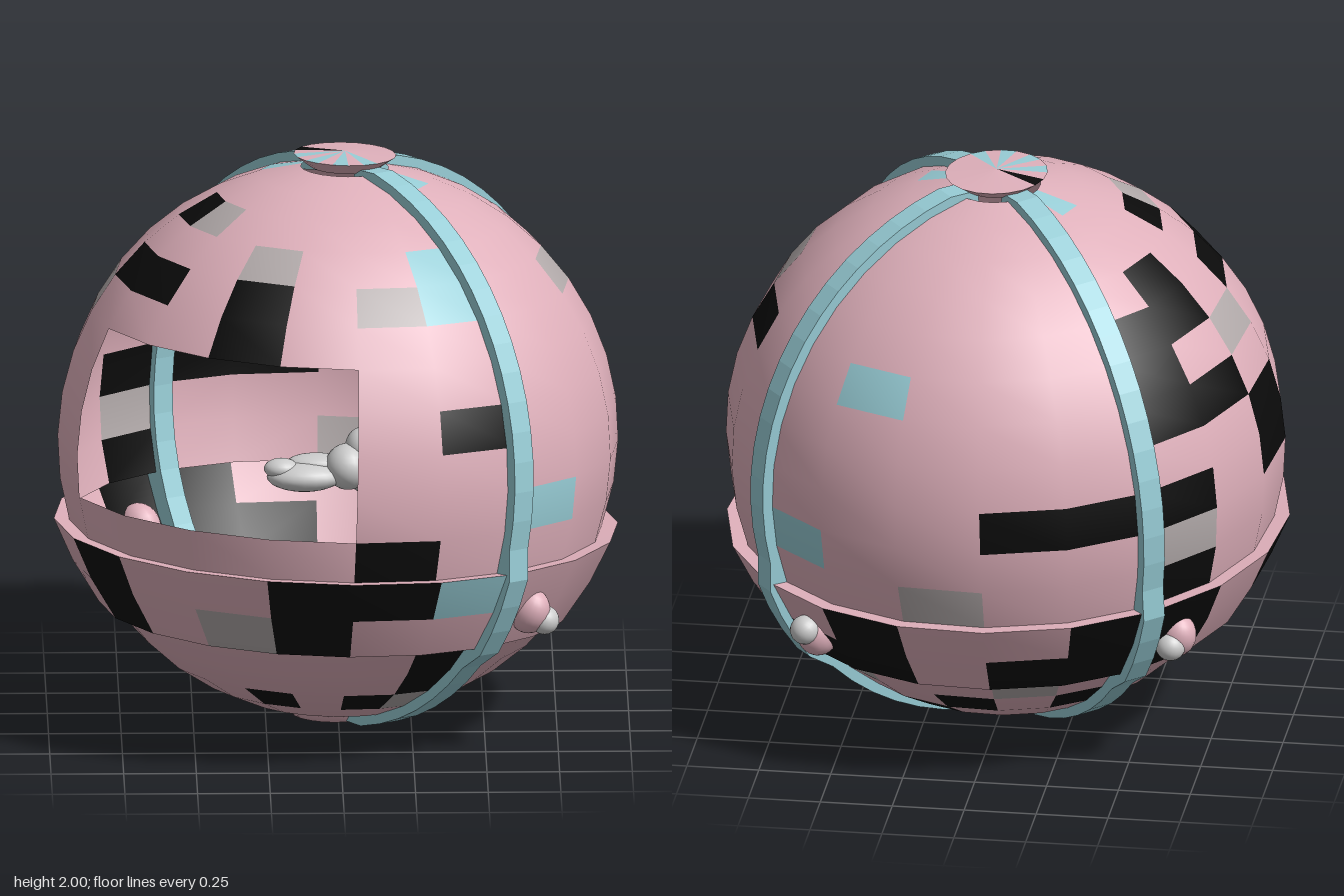
import * as THREE from 'three';

const R = 0.967, COLS = 20, RAD = Math.PI / 180, STEP = 9;
const mat = (color) => new THREE.MeshStandardMaterial({ color, side: THREE.DoubleSide });
const pink = mat(0xdfb0bb), blue = mat(0x98cdd6), black = mat(0x0b0b0b), grey = mat(0xb3abab), plain = mat(0xcccccc);
const MATS = [pink, black, blue, grey];

// Coloured tiles: row from the top -> columns (k black, b blue, g grey)
const TILES = {
  0: { k: [13], b: [1, 15, 17, 19] },
  1: { b: [3, 13] },
  3: { k: [15], g: [16] },
  4: { k: [13], b: [1], g: [18] },
  5: { k: [12, 13, 15, 16, 18], b: [1], g: [0, 4] },
  6: { k: [5, 12, 18], b: [8], g: [14] },
  7: { k: [12, 13] },
  8: { k: [1, 14] },
  9: { k: [10, 11, 12, 14] },
  10: { b: [2, 7], g: [12] },
  11: { k: [0, 12], g: [9] },
  12: { k: [0, 4, 5, 8, 11, 12, 14, 16, 19], b: [1] },
  13: { k: [4, 7, 8, 10, 11, 12, 14, 16, 19], g: [18] },
  14: { k: [1], g: [7, 10] },
  15: { k: [1, 9, 11], g: [4, 5] },
  16: { k: [0, 8, 18], g: [1] },
  17: { k: [4, 8] },
  18: { k: [1] },
  19: { k: [3, 8, 12, 17], b: [1, 6, 10, 15] },
};
const tile = (row, col) => {
  const t = TILES[row] || {};
  return 1 + ['k', 'b', 'g'].findIndex((key) => t[key] && t[key].includes(col));
};
const isOpening = (row, col) => row >= 7 && row <= 10 && col >= 16;
const sphereRing = (row, radius = R) => [radius * Math.sin(row * STEP * RAD), radius * Math.cos(row * STEP * RAD)];

// Surface of revolution made of tiles; rings are [radius, y], rows give the tile row of each strip
function tiled(name, rings, rows) {
  const pos = [], byColor = [[], [], [], []];
  for (const [r, y] of rings) {
    for (let c = 0; c < COLS; c++) {
      const a = (3 + c * 18) * RAD;
      pos.push(r * Math.sin(a), y, r * Math.cos(a));
    }
  }
  rows.forEach((row, i) => {
    for (let c = 0; c < COLS; c++) {
      if (isOpening(row, c)) continue;
      const n = (c + 1) % COLS, a = i * COLS, b = a + COLS;
      byColor[tile(row, c)].push(a + c, b + c, b + n, a + c, b + n, a + n);
    }
  });
  const geo = new THREE.BufferGeometry();
  geo.setAttribute('position', new THREE.Float32BufferAttribute(pos, 3));
  geo.setIndex(byColor.flat());
  let start = 0;
  byColor.forEach((list, m) => {
    if (list.length) geo.addGroup(start, list.length, m);
    start += list.length;
  });
  geo.computeVertexNormals();
  const mesh = new THREE.Mesh(geo, MATS);
  mesh.name = name;
  return mesh;
}

const range = (from, to) => Array.from({ length: to - from }, (_, i) => from + i);
const shell = (name, from, to) => tiled(name, range(from, to + 1).map((i) => sphereRing(i)), range(from, to));

// Curved strap from pole to pole, raised where it crosses the belt
function strap(phi) {
  const outer = [], inner = [];
  for (let t = 6; t <= 174; t += 6) {
    const lift = t >= 105 && t <= 129 ? 1.03 : 0.998;
    const at = (r) => new THREE.Vector2(r * Math.sin(t * RAD), r * Math.cos(t * RAD));
    outer.push(at(t < 12 || t > 168 ? 0.978 : lift));
    inner.unshift(at(0.935));
  }
  const geo = new THREE.ExtrudeGeometry(new THREE.Shape([...outer, ...inner]), { depth: 0.084, bevelEnabled: false });
  geo.translate(0, 0, -0.042);
  const mesh = new THREE.Mesh(geo, blue);
  mesh.rotation.y = (phi - 90) * RAD;
  mesh.name = 'strap';
  return mesh;
}

function ellipsoid(name, material, p, s) {
  const mesh = new THREE.Mesh(new THREE.SphereGeometry(1, 20, 14), material);
  mesh.position.set(...p);
  mesh.scale.set(...s);
  mesh.name = name;
  return mesh;
}

// Egg-shaped bulb with a small ball on it; local z points out of the sphere
function bulb(phi, ball) {
  const g = new THREE.Group();
  g.name = 'bulb';
  g.add(ellipsoid('bulbBody', pink, [0, 0, 0], [0.066, 0.082, 0.075]));
  g.add(ellipsoid('bulbBall', plain, ball, [0.052, 0.05, 0.052]));
  const t = 118 * RAD, a = phi * RAD;
  const dir = new THREE.Vector3(Math.sin(t) * Math.sin(a), Math.cos(t), Math.sin(t) * Math.cos(a));
  g.position.copy(dir).multiplyScalar(0.99);
  g.lookAt(dir.multiplyScalar(2));
  return g;
}

export function createModel() {
  const model = new THREE.Group();
  model.name = 'tiledSphere';
  const body = new THREE.Group();
  body.name = 'body';
  body.position.y = 0.985;
  body.rotation.set(-0.05, 0, -0.025);
  model.add(body);

  // Shell above and below the belt
  body.add(shell('upperShell', 1, 12), shell('lowerShell', 14, 19));

  // Raised belt with its two lips
  const beltTop = [0.973, -0.295], beltMid = [0.905, -0.44], beltLow = [0.81, -0.588];
  body.add(tiled('belt', [beltTop, beltMid, beltLow], [12, 13]));
  body.add(tiled('beltTopLip', [sphereRing(12), beltTop], [2]));
  body.add(tiled('beltBottomLip', [beltLow, sphereRing(14)], [2]));

  // Flared top cap and flat bottom cap
  const capEdge = [0.177, 1.0];
  body.add(tiled('topCap', [[0, 1.012], capEdge], [0]));
  body.add(tiled('topCapSide', [capEdge, [0.118, 0.957]], [2]));
  body.add(tiled('bottomCap', [sphereRing(19), [0.135, -0.978], [0, -0.984]], [2, 19]));

  // Straps and bulbs a quarter turn apart, none on the open side
  for (const phi of [39, 129, 219]) body.add(strap(phi));
  body.add(bulb(49, [0.035, -0.01, 0.05]));
  body.add(bulb(139, [0, 0.055, 0.035]));
  body.add(bulb(229, [-0.045, -0.01, 0.03]));

  // Soft lump lying inside, behind the opening
  const lump = new THREE.Group();
  lump.name = 'innerLump';
  const parts = [
    [[-0.2, 0.96, 0.3], [0.06, 0.035, 0.05]],
    [[-0.12, 0.93, 0.3], [0.13, 0.05, 0.08]],
    [[-0.08, 0.97, 0.26], [0.1, 0.03, 0.06]],
    [[0.03, 0.96, 0.28], [0.08, 0.08, 0.09]],
    [[0.08, 1.02, 0.25], [0.06, 0.07, 0.07]],
    [[0.14, 0.93, 0.26], [0.12, 0.08, 0.1]],
  ];
  for (const [p, s] of parts) lump.add(ellipsoid('lumpPart', plain, p, s));
  model.add(lump);
  return model;
}
